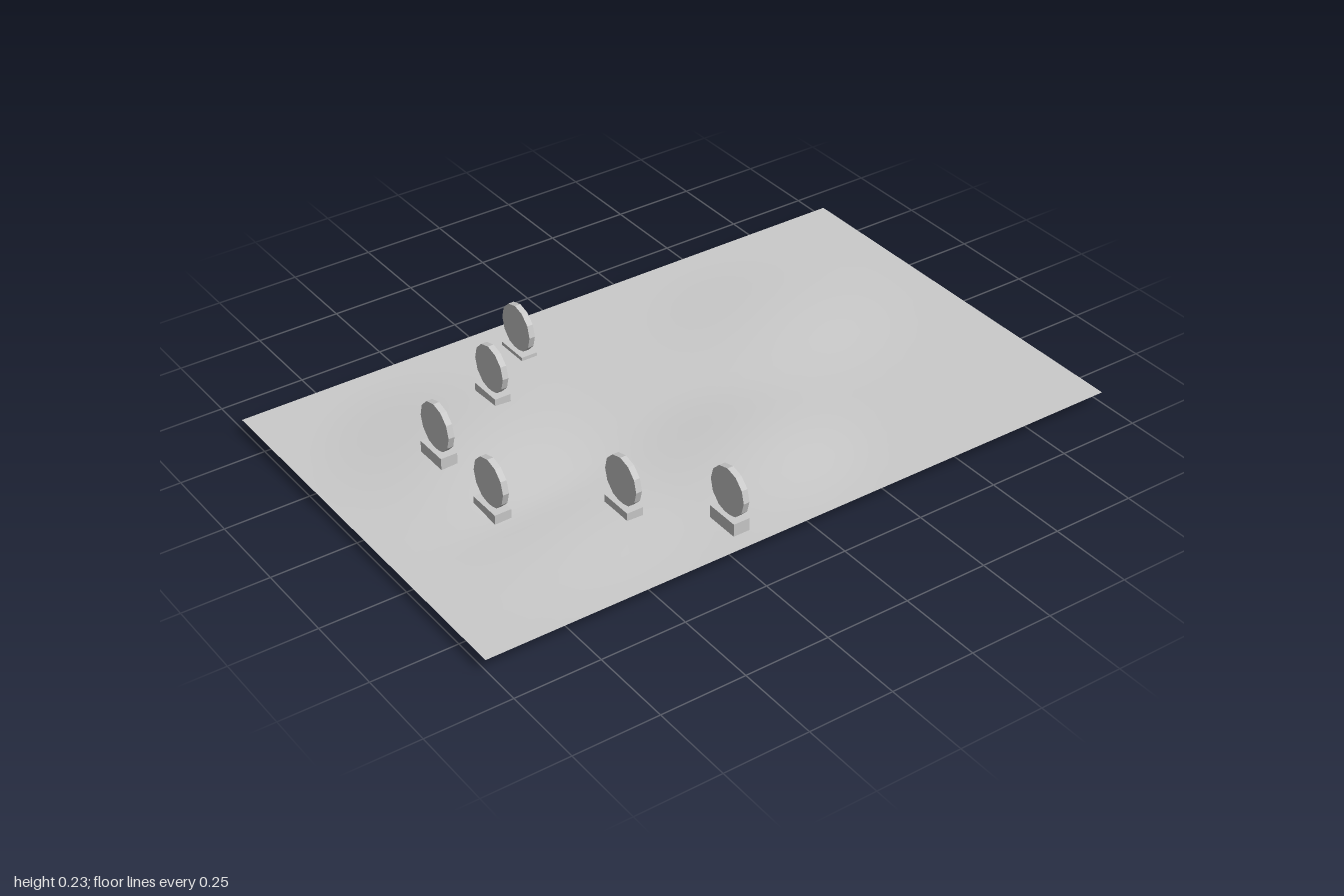
import * as THREE from 'three';

const material = new THREE.MeshStandardMaterial({ color: 0xcccccc, flatShading: true });
const groundMaterial = new THREE.MeshStandardMaterial({ color: 0xcccccc, side: THREE.DoubleSide });

// Low mounds: x, z, height, radius in x, radius in z
const mounds = [
  [-0.6, -0.14, 0.027, 0.42, 0.46],
  [0.05, 0.28, 0.019, 0.36, 0.34],
  [-0.55, 0.32, 0.01, 0.4, 0.3],
  [0.48, -0.2, 0.014, 0.42, 0.4],
];

function groundHeight(x, z) {
  let y = 0.033;
  for (const [mx, mz, h, rx, rz] of mounds) {
    const d = Math.min(1, Math.hypot((x - mx) / rx, (z - mz) / rz));
    y = Math.max(y, 0.033 + h * 0.5 * (1 + Math.cos(Math.PI * d)));
  }
  return y;
}

// Gently rolling sheet of ground
function createGround() {
  const geometry = new THREE.PlaneGeometry(2, 1.25, 40, 26).rotateX(-Math.PI / 2);
  const p = geometry.attributes.position;
  for (let i = 0; i < p.count; i++) p.setY(i, groundHeight(p.getX(i), p.getZ(i)));
  geometry.computeVertexNormals();
  const ground = new THREE.Mesh(geometry, groundMaterial);
  ground.name = 'ground';
  return ground;
}

// Upright disc standing on a small block sunk into the ground
function createTarget(x, y, z) {
  const target = new THREE.Group();
  target.name = 'target';

  const base = new THREE.Mesh(new THREE.BoxGeometry(0.05, 0.044, 0.104), material);
  base.name = 'base';
  base.position.y = 0.022;

  const disc = new THREE.Mesh(
    new THREE.CylinderGeometry(0.071, 0.071, 0.018, 12).rotateZ(Math.PI / 2), material);
  disc.name = 'disc';
  disc.position.y = 0.112;

  target.add(base, disc);
  target.position.set(x, y, z);
  return target;
}

export function createModel() {
  const model = new THREE.Group();
  model.name = 'targetField';
  model.add(createGround());

  // Targets in an arc: x, bottom of base, z
  const places = [
    [-0.197, 0.027, 0.52],
    [-0.386, 0.019, 0.315],
    [-0.67, 0.022, 0.13],
    [-0.67, 0.047, -0.134],
    [-0.386, 0.021, -0.322],
    [-0.197, 0, -0.484],
  ];
  for (const place of places) model.add(createTarget(...place));
  return model;
}
